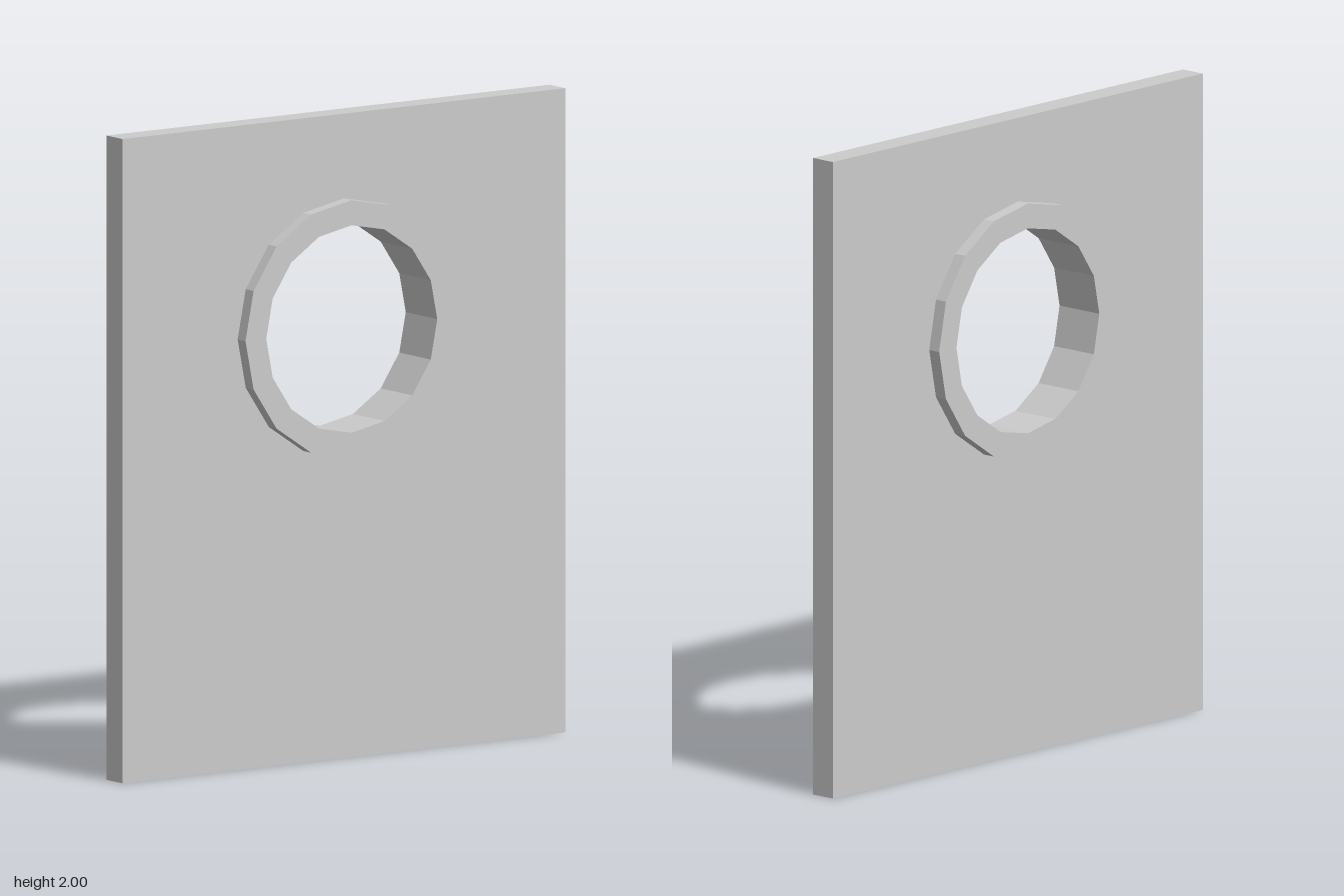
import * as THREE from 'three';

const SIDES = 16;
const HOLE_Y = 1.337;

// Regular polygon points around the hole centre, with a corner at the top
function ringPoints(radius) {
  return Array.from({ length: SIDES }, (_, i) => {
    const a = (i / SIDES) * Math.PI * 2;
    return new THREE.Vector2(Math.cos(a) * radius, HOLE_Y + Math.sin(a) * radius);
  });
}

// Extrude an outline with a hole, centred on x = 0 and facing sideways
function slab(name, outline, hole, thickness, material) {
  const shape = new THREE.Shape(outline);
  shape.holes.push(new THREE.Path(hole));
  const geometry = new THREE.ExtrudeGeometry(shape, { depth: thickness, bevelEnabled: false });
  geometry.translate(0, 0, -thickness / 2);
  geometry.rotateY(Math.PI / 2);
  const mesh = new THREE.Mesh(geometry, material);
  mesh.name = name;
  return mesh;
}

export function createModel() {
  const group = new THREE.Group();
  group.name = 'panelWithPortRing';
  const material = new THREE.MeshStandardMaterial({ color: 0xcccccc, flatShading: true });

  // Upright rectangular panel, cut out where the ring sits
  const w = 0.834;
  const panelOutline = [[-w, 0], [w, 0], [w, 2], [-w, 2]].map(([x, y]) => new THREE.Vector2(x, y));
  group.add(slab('panel', panelOutline, ringPoints(0.4), 0.083, material));

  // Ring lining the hole and standing proud on both faces
  group.add(slab('ring', ringPoints(0.4), ringPoints(0.322), 0.166, material));

  return group;
}
